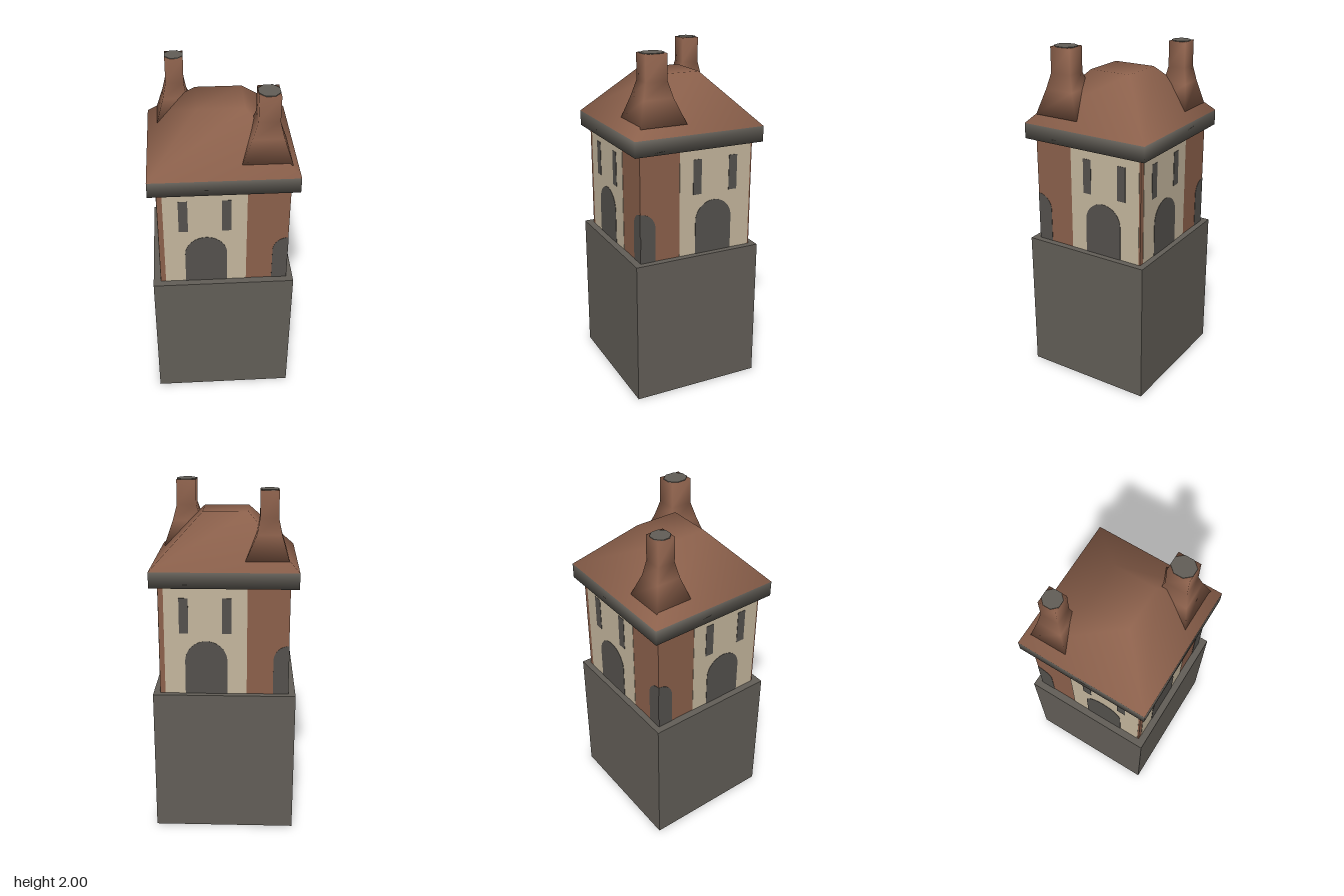
import * as THREE from 'three';

const mat = (name, color) => Object.assign(new THREE.MeshStandardMaterial({ color }), { name });

// Smooth loft through rectangular rings [y, x0, x1, z0, z1]; slot(i) picks the material of band i
function loft(rings, slot = () => 0) {
  const pos = [], idx = [];
  const geo = new THREE.BufferGeometry();
  for (const [y, x0, x1, z0, z1] of rings) pos.push(x0, y, z1, x1, y, z1, x1, y, z0, x0, y, z0);
  const add = (m, ...tris) => {
    geo.addGroup(idx.length, tris.length, m);
    idx.push(...tris);
  };
  const last = rings.length - 1;
  add(slot(0), 0, 2, 1, 0, 3, 2);
  for (let r = 0; r < last; r++) {
    for (let i = 0; i < 4; i++) {
      const a = r * 4 + i, b = r * 4 + (i + 1) % 4;
      add(slot(r), a, b, b + 4, a, b + 4, a + 4);
    }
  }
  const t = last * 4;
  add(slot(last - 1), t, t + 1, t + 2, t, t + 2, t + 3);
  geo.setAttribute('position', new THREE.Float32BufferAttribute(pos, 3));
  geo.setIndex(idx);
  geo.computeVertexNormals();
  return geo;
}

function rectShape(u0, u1, y0, y1) {
  return new THREE.Shape([[u0, y0], [u1, y0], [u1, y1], [u0, y1]].map(p => new THREE.Vector2(...p)));
}

// Round-topped opening, standing on y0
function archShape(u0, u1, y0, top) {
  const r = (u1 - u0) / 2, s = new THREE.Shape();
  s.moveTo(u0, y0);
  s.lineTo(u1, y0);
  s.lineTo(u1, top - r);
  s.absarc(u0 + r, top - r, r, 0, Math.PI, false);
  return s;
}

// Half of an arch whose crown lies on the wall corner at u = corner
function halfArchShape(edge, corner, y0, top) {
  const s = new THREE.Shape(), r = Math.abs(corner - edge), right = corner > edge;
  s.moveTo(corner, y0);
  s.lineTo(corner, top - r);
  s.absarc(corner, top - r, r, Math.PI / 2, right ? Math.PI : 0, !right);
  s.lineTo(edge, y0);
  return s;
}

export function createModel() {
  const model = new THREE.Group();
  model.name = 'gatehouse';
  const stone = mat('greyStone', 0x625e57);
  const brick = mat('brownBrick', 0x8b604b);
  const plaster = mat('creamPlaster', 0xc4b69d);
  const dark = mat('darkOpening', 0x54514d);

  const add = (parent, name, geo, material) => {
    const m = new THREE.Mesh(geo, material);
    m.name = name;
    parent.add(m);
    return m;
  };

  // Plinth and brick walls
  add(model, 'plinth', new THREE.BoxGeometry(0.815, 0.85, 0.78), stone).position.set(-0.002, 0.425, 0.003);
  const W = 0.367, D = 0.35, Y0 = 0.85, Y1 = 1.48;
  add(model, 'walls', new THREE.BoxGeometry(2 * W, Y1 - Y0, 2 * D), brick).position.y = (Y0 + Y1) / 2;

  // Painted wall faces; opposite sides repeat by a half turn
  const faces = {
    long: {
      dist: D, plaster: [-0.337, 0.13], arch: [-0.22, 0.02], half: [0.28, W], windows: [-0.226, 0.016],
    },
    short: {
      dist: W, plaster: [-0.11, 0.34], arch: [-0.01, 0.22], half: [-0.26, -D], windows: [0, 0.227],
    },
  };
  function wallFace(name, f, turn) {
    const g = new THREE.Group();
    g.name = name;
    g.rotation.y = turn;
    const plate = (part, shape, depth, material) => {
      const geo = new THREE.ExtrudeGeometry(shape, { depth, bevelEnabled: false, curveSegments: 16 });
      add(g, part, geo, material).position.z = f.dist;
    };
    plate('plasterPanel', rectShape(...f.plaster, Y0, Y1), 0.002, plaster);
    plate('archedDoor', archShape(...f.arch, Y0, 1.165), 0.004, dark);
    plate('cornerArch', halfArchShape(...f.half, Y0, 1.14), 0.002, dark);
    for (const u of f.windows) plate('window', rectShape(u - 0.026, u + 0.026, 1.21, 1.415), 0.004, dark);
    model.add(g);
  }
  wallFace('frontWall', faces.long, 0);
  wallFace('leftWall', faces.short, Math.PI / 2);
  wallFace('backWall', faces.long, Math.PI);
  wallFace('rightWall', faces.short, -Math.PI / 2);

  // Hipped roof with a grey eave band
  add(model, 'roof', loft([
    [1.48, -0.413, 0.411, -0.395, 0.395],
    [1.57, -0.413, 0.411, -0.395, 0.395],
    [1.855, -0.132, 0.128, -0.127, 0.13],
  ], band => band), [stone, brick]);

  // Flared chimneys with dark flue tops
  function chimney(name, base, mid, top) {
    const g = new THREE.Group();
    g.name = name;
    add(g, 'stack', loft([[1.62, ...base], [1.76, ...mid], [1.85, ...top], [1.996, ...top]]), [brick]);
    const [x0, x1, z0, z1] = top;
    const flue = add(g, 'flue', new THREE.CylinderGeometry(1, 1, 0.006, 8), stone);
    flue.rotation.y = Math.PI / 8;
    const holder = new THREE.Group();
    holder.name = 'flueTop';
    holder.scale.set((x1 - x0) * 0.535, 1, (z1 - z0) * 0.535);
    holder.position.set((x0 + x1) / 2, 1.997, (z0 + z1) / 2);
    holder.add(flue);
    g.add(holder);
    model.add(g);
  }
  chimney('frontChimney', [0.092, 0.37, 0.066, 0.342], [0.152, 0.322, 0.125, 0.302], [0.183, 0.299, 0.15, 0.28]);
  chimney('backChimney', [-0.357, -0.115, -0.347, -0.122], [-0.315, -0.178, -0.312, -0.17], [-0.296, -0.194, -0.294, -0.19]);

  return model;
}
